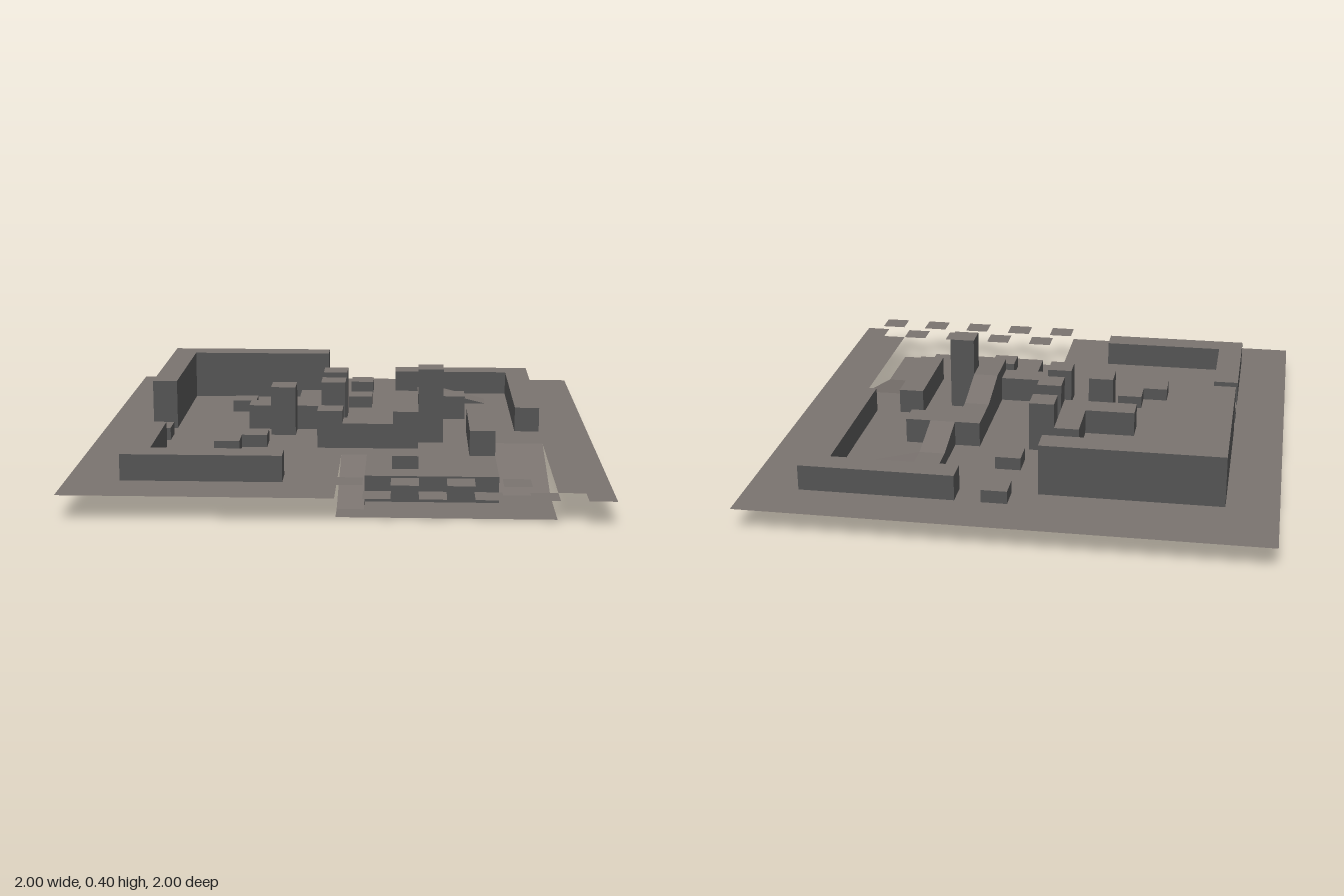
import * as THREE from 'three';

// The layout sits on a grid; one cell is 0.1 wide and heights use the same unit.
const CELL = 0.1, HALF = 10, GROUND = 1;
const key = (i, j) => i + ',' + j;

// A part is a named set of cells; an open part has no side walls.
function layout() {
  const cells = new Map();
  const parts = [];

  const part = (name, open = false) => {
    const p = { name, open, tops: [], walls: [] };
    parts.push(p);
    // Cover a rectangle with this part; the height may be a slope rule
    const fill = (x, z, width, depth, h) => {
      const height = typeof h === 'function' ? h : () => h;
      for (let i = x; i < x + width; i++) {
        for (let j = z; j < z + depth; j++) cells.set(key(i, j), { part: p, height });
      }
      return fill;
    };
    return fill;
  };

  // L-shaped wall from its outer corner, with signed arm lengths
  const cornerWall = (name, x, z, armX, armZ, h) => {
    const fill = part(name);
    fill(Math.min(x, x + armX), armZ > 0 ? z : z - 1, Math.abs(armX), 1, h);
    fill(armX > 0 ? x : x - 1, Math.min(z, z + armZ), 1, Math.abs(armZ), h);
  };

  part('ground', true)(-HALF, -HALF, 2 * HALF, 2 * HALF, GROUND);

  // Sunken court at the front, the ledge above it and two ramps down
  part('pitFloor', true)(0, 6, 8, 3, 0);
  part('ledge')(1, 2, 5, 5, GROUND);
  part('pitRampWide')(6, 2, 2, 4, (x, z) => (6 - z) / 4);
  part('pitRampNarrow')(0, 4, 1, 4, (x, z) => (8 - z) / 4);

  // Loose raised tiles along the front edge
  const tiles = part('edgeTiles', true);
  for (let x = 0; x < 9; x += 2) tiles(x, 9, 1, 1, 1.5);

  // Outer walls
  cornerWall('backLeftWall', 8, -8, -6, 8, 2);
  cornerWall('backRightWall', -8, -7, 7, 7, 3);
  cornerWall('frontRightWall', -8, 8, 6, -5, 2);
  part('pitSideWall')(5, 0, 1, 4, 2);

  // Central ruin with its pillars
  part('ruinWall')(-2, -3, 1, 3, 2)(-4, -1, 2, 1, 2);
  part('ruinPillars')(-1, -3, 1, 1, 3)(-1, -1, 1, 1, 3)(-3, 0, 1, 1, 3);

  // Walkway winding up to the tower
  part('lowerRamp')(4, -6, 2, 1, (x) => 1 + (6 - x) / 4)(3, -6, 1, 1, 1.5);
  part('middleRamp')(3, -5, 1, 2, (x, z) => 1.5 + (z + 5) / 4);
  part('walkway')(2, -3, 3, 1, 2)(2, -2, 1, 1, 2);
  part('upperRamp')(2, -1, 1, 2, (x, z) => 2 + (z + 1) / 4);
  part('upperLanding')(2, 1, 1, 2, 2.5);
  part('bridgeWall')(0, 2, 2, 1, 2)(-1, 2, 1, 1, 2.5);
  part('tower')(3, 1, 1, 1, 4);

  // Scattered low blocks
  const blocks = part('lowBlocks');
  for (const [x, z] of [[0, -8], [0, -5], [-5, -4], [-2, -4], [-5, 3], [-4, 2], [-8, 1], [2, 5]]) {
    blocks(x, z, 1, 1, 1.5);
  }
  return { cells, parts };
}

// Flat-faced geometry from a list of quads
function quadGeometry(quads) {
  const pos = [];
  for (const [a, b, c, d] of quads) {
    for (const p of [a, b, c, a, c, d]) pos.push(p[0] * CELL, p[1] * CELL, p[2] * CELL);
  }
  const geo = new THREE.BufferGeometry();
  geo.setAttribute('position', new THREE.Float32BufferAttribute(pos, 3));
  geo.computeVertexNormals();
  return geo;
}

export function createModel() {
  const floorMat = new THREE.MeshStandardMaterial({ color: 0x7a736f, side: THREE.DoubleSide });
  floorMat.name = 'warm grey top';
  const wallMat = new THREE.MeshStandardMaterial({ color: 0x545454, side: THREE.DoubleSide });
  wallMat.name = 'dark grey wall';

  const { cells, parts } = layout();
  for (let i = -HALF; i < HALF; i++) {
    for (let j = -HALF; j < HALF; j++) {
      const { part, height } = cells.get(key(i, j));
      const corners = [[i, j], [i, j + 1], [i + 1, j + 1], [i + 1, j]];
      part.tops.push(corners.map(([x, z]) => [x, height(x, z), z]));
      if (part.open) continue;

      // Drop a wall wherever the neighbouring cell lies lower
      [[-1, 0], [0, 1], [1, 0], [0, -1]].forEach(([di, dj], k) => {
        const next = cells.get(key(i + di, j + dj));
        const [ax, az] = corners[k], [bx, bz] = corners[(k + 1) % 4];
        const aTop = height(ax, az), bTop = height(bx, bz);
        const aLow = Math.min(aTop, next.height(ax, az));
        const bLow = Math.min(bTop, next.height(bx, bz));
        if (aTop - aLow + bTop - bLow < 1e-6) return;
        part.walls.push([[ax, aLow, az], [bx, bLow, bz], [bx, bTop, bz], [ax, aTop, az]]);
      });
    }
  }

  const model = new THREE.Group();
  model.name = 'courtyard';
  for (const { name, tops, walls } of parts) {
    const group = new THREE.Group();
    group.name = name;
    const add = (suffix, quads, material) => {
      if (!quads.length) return;
      const mesh = new THREE.Mesh(quadGeometry(quads), material);
      mesh.name = name + suffix;
      group.add(mesh);
    };
    add('Top', tops, floorMat);
    add('Sides', walls, wallMat);
    model.add(group);
  }
  return model;
}
